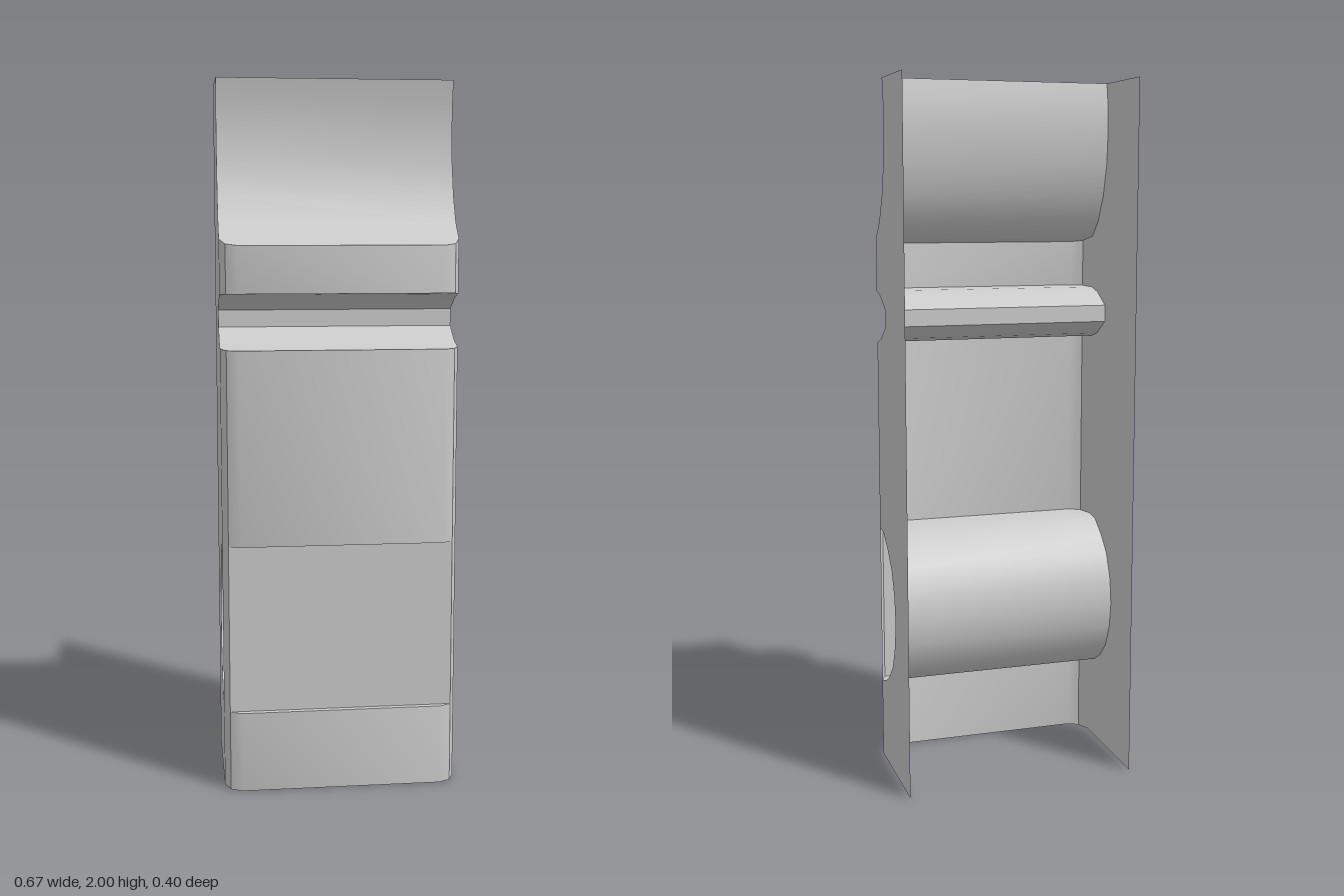
import * as THREE from 'three';
import { toCreasedNormals } from 'three/addons/utils/BufferGeometryUtils.js';

const HALF = 0.333, BACK = -0.2, EDGE = 0.145, LIP = 0.183, FRONT = 0.2;

// Groove profiles as [z, y], each running upwards
const lowerGroove = [
  [FRONT, 0.23], [LIP, 0.23], [EDGE, 0.233], [0.09, 0.25], [0.045, 0.277], [0, 0.322], [-0.03, 0.39],
  [-0.041, 0.465], [-0.031, 0.54], [0, 0.612], [0.045, 0.66], [0.1, 0.7], [EDGE, 0.706], [LIP, 0.709], [FRONT, 0.71],
];
const middleGroove = [
  [FRONT, 1.258], [LIP, 1.258], [EDGE, 1.26], [0.1, 1.272], [0.036, 1.312],
  [0.036, 1.36], [0.1, 1.396], [EDGE, 1.408], [LIP, 1.411], [FRONT, 1.412],
];
const topGroove = [
  [FRONT, 1.543], [LIP, 1.547], [EDGE, 1.56], [0.1, 1.604], [0.06, 1.68],
  [0.036, 1.77], [0.028, 1.87], [0.032, 1.94], [0.042, 2],
];

export function createModel() {
  const group = new THREE.Group();
  const material = new THREE.MeshStandardMaterial({ color: 0xcccccc, side: THREE.DoubleSide });

  const add = (name, geometry) => {
    const mesh = new THREE.Mesh(geometry, material);
    mesh.name = name;
    group.add(mesh);
    return mesh;
  };

  // Ruled strip between pairs of points
  const strip = (name, pairs) => {
    const geometry = new THREE.BufferGeometry();
    const index = [];
    for (let i = 0; i < pairs.length - 1; i++) {
      const a = i * 2;
      index.push(a, a + 2, a + 1, a + 1, a + 2, a + 3);
    }
    geometry.setAttribute('position', new THREE.Float32BufferAttribute(pairs.flat(2), 3));
    geometry.setIndex(index);
    return add(name, toCreasedNormals(geometry, 0.63));
  };

  // Half width of the body, narrowing at the bevelled front corners
  const halfWidth = (z) => (z > LIP ? 0.285 : z === LIP ? 0.317 : HALF);

  // Side walls, notched by the grooves
  const inner = (profile) => profile.filter(([z]) => z <= EDGE);
  const outline = [
    [BACK, 0], [EDGE, 0], ...inner(lowerGroove), ...inner(middleGroove), ...inner(topGroove), [BACK, 2],
  ].map(([z, y]) => new THREE.Vector2(z, y));
  for (const side of [-1, 1]) {
    const wall = new THREE.ShapeGeometry(new THREE.Shape(outline));
    wall.rotateY(-Math.PI / 2);
    add(side > 0 ? 'leftWall' : 'rightWall', wall).position.x = side * HALF;
  }

  // Grooves crossing the full width
  const groove = (name, profile) => strip(name, profile.map(([z, y]) => [
    [-halfWidth(z), y, z], [halfWidth(z), y, z],
  ]));
  groove('lowerGroove', lowerGroove);
  groove('middleGroove', middleGroove);
  groove('topGroove', topGroove);

  // Front panels with bevelled corners; bounds give y at EDGE, LIP and FRONT
  const panel = (name, low, high, depths = [EDGE, LIP, FRONT]) => {
    const half = depths.map((z, i) => ({ x: halfWidth(z), z, i }));
    const section = [...half.map((p) => ({ ...p, x: -p.x })), ...half.reverse()];
    strip(name, section.map(({ x, z, i }) => [[x, low[i], z], [x, high[i], z]]));
  };
  panel('basePanel', [0, 0, 0], [0.233, 0.23, 0.23]);
  panel('middlePanel', [0.706, 0.709, 0.71], [1.26, 1.258, 1.258]);
  panel('upperPanel', [1.408, 1.411, 1.412], [1.56, 1.547, 1.543]);

  // Recessed cover in front of the lower groove
  panel('recessedPanel', [0.233, 0.23], [0.706, 0.709], [EDGE, LIP]);

  return group;
}
